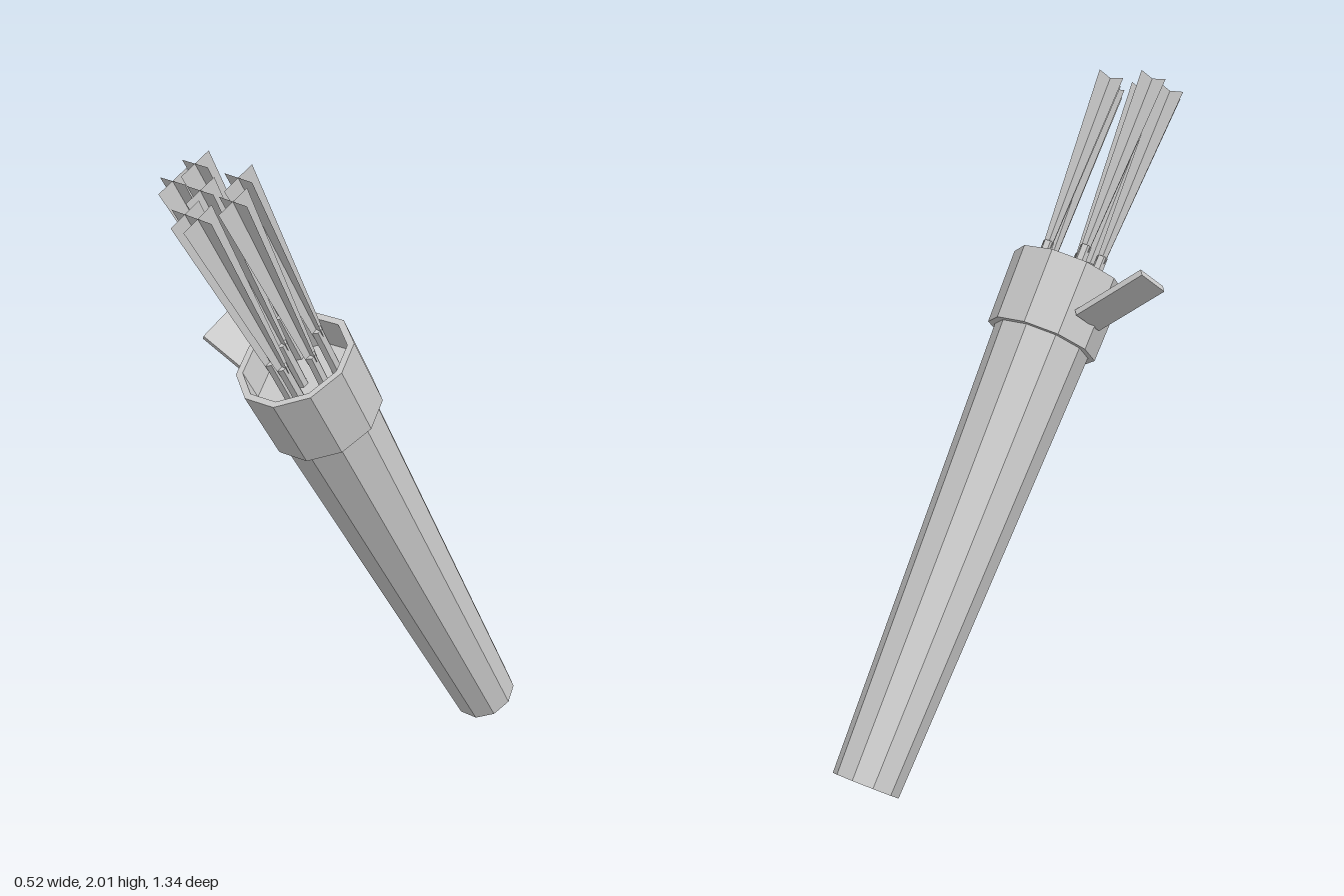
import * as THREE from 'three';

const SIDES = 10;
const TURN = THREE.MathUtils.degToRad(23);
const FLOOR = -0.1; // inside floor, measured down from the rim

const grey = new THREE.MeshStandardMaterial({ color: 0xcccccc, flatShading: true });
const thin = new THREE.MeshStandardMaterial({ color: 0xcccccc, flatShading: true, side: THREE.DoubleSide });

function part(name, geometry, material = grey) {
  const mesh = new THREE.Mesh(geometry, material);
  mesh.name = name;
  return mesh;
}

// Flat vane that widens towards the tail of the arrow
function vaneGeometry(y0, y1, half0, half1) {
  const shape = new THREE.Shape([
    new THREE.Vector2(-half0, y0), new THREE.Vector2(half0, y0),
    new THREE.Vector2(half1, y1), new THREE.Vector2(-half1, y1),
  ]);
  return new THREE.ShapeGeometry(shape);
}

// Arrow running from the rim plane position (u0, v0) to its tail at (u1, v1)
function makeArrow([u0, v0, u1, v1]) {
  const arrow = new THREE.Group();
  arrow.name = 'arrow';
  const base = new THREE.Vector3(u0, 0.035, v0);
  const tail = new THREE.Vector3(u1, 0.597, v1);
  const dir = tail.clone().sub(base);
  const length = dir.length();

  const shaft = part('arrowShaft', new THREE.CylinderGeometry(0.017, 0.017, 0.17, 6));
  shaft.position.y = -0.065;
  arrow.add(shaft);

  const vane = vaneGeometry(0, length, 0.018, 0.053);
  for (const angle of [0, Math.PI / 2]) {
    const fletching = part('fletching', vane, thin);
    fletching.rotation.y = angle;
    arrow.add(fletching);
  }
  arrow.position.copy(base);
  arrow.quaternion.setFromUnitVectors(new THREE.Vector3(0, 1, 0), dir.normalize());
  return arrow;
}

export function createModel() {
  const model = new THREE.Group();
  model.name = 'quiverWithArrows';

  // Everything is built upright around the centre of the rim, then tilted
  const quiver = new THREE.Group();
  quiver.name = 'quiver';
  quiver.position.set(0.085, 1.422, 0.257);
  quiver.rotation.set(0.551, 0, -0.03);
  model.add(quiver);

  // Tapered body, whose top cap is the floor inside the collar
  const bottom = -1.609;
  const body = part('body', new THREE.CylinderGeometry(0.151, 0.1, FLOOR - bottom, SIDES, 1, false, TURN));
  body.position.y = (FLOOR + bottom) / 2;
  quiver.add(body);

  // Hollow collar
  const profile = [[0.168, -0.229], [0.173, 0], [0.153, 0], [0.148, -0.229], [0.168, -0.229]]
    .map(([r, y]) => new THREE.Vector2(r, y));
  const collar = new THREE.LatheGeometry(profile, SIDES, TURN);
  quiver.add(part('collar', collar));

  // Strap stub slanting up and out from the collar
  const from = new THREE.Vector2(-0.158, -0.15);
  const to = new THREE.Vector2(-0.345, -0.005);
  const along = to.clone().sub(from);
  const strap = part('strap', new THREE.BoxGeometry(along.length(), 0.02, 0.11));
  strap.position.set((from.x + to.x) / 2, (from.y + to.y) / 2, -0.011);
  strap.rotation.z = Math.atan2(along.y, along.x);
  quiver.add(strap);

  // Arrows in three rows, fanning out slightly
  const arrows = [
    [-0.106, -0.074, -0.123, -0.09], [0.044, -0.078, 0.047, -0.09],
    [-0.11, 0, -0.138, -0.018], [-0.02, 0.002, -0.028, -0.018], [0.094, 0.002, 0.099, -0.018],
    [-0.004, 0.066, -0.003, 0.064], [0.044, 0.066, 0.047, 0.064],
  ];
  for (const a of arrows) quiver.add(makeArrow(a));

  return model;
}
